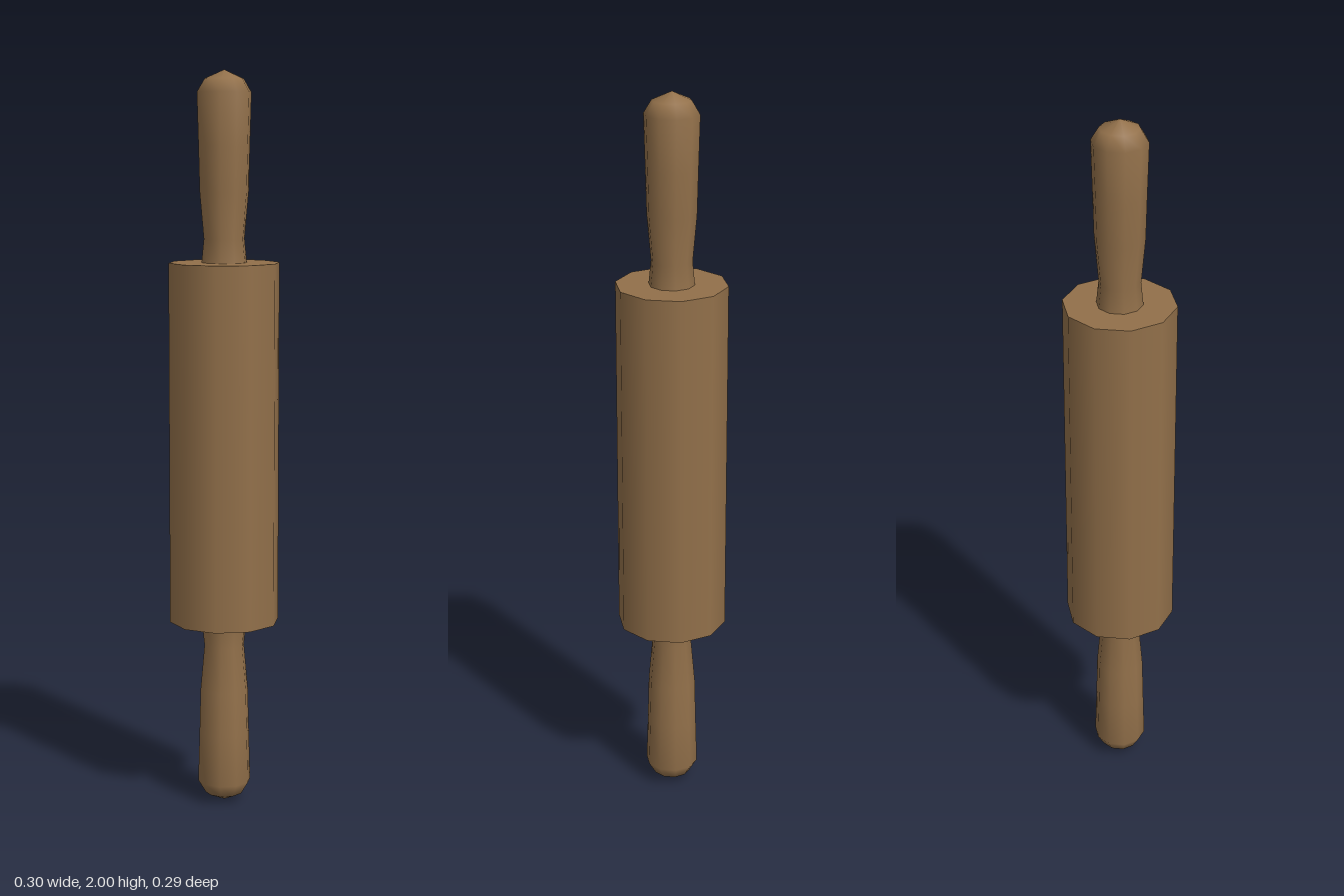
import * as THREE from 'three';

const SIDES = 10;

export function createModel() {
  const wood = new THREE.MeshStandardMaterial({ color: 0x92704a });
  wood.name = 'wood';
  const model = new THREE.Group();
  model.name = 'rollingPin';

  // Ten-sided barrel with a corner on the x axis
  const barrel = new THREE.Mesh(
    new THREE.CylinderGeometry(0.15, 0.15, 0.98, SIDES, 1, false, Math.PI / 2), wood);
  barrel.name = 'barrel';
  barrel.position.y = 1.004;
  model.add(barrel);

  // Handle profile, from the barrel end out to the rounded tip
  const profile = [
    [0.062, 0.485], [0.055, 0.555], [0.066, 0.68], [0.069, 0.8],
    [0.073, 0.94], [0.052, 0.975], [0, 0.998],
  ].map(([r, y]) => new THREE.Vector2(r, y));
  const handleGeometry = new THREE.LatheGeometry(profile, SIDES, Math.PI / 2);

  for (const [name, turn] of [['topHandle', 0], ['bottomHandle', Math.PI]]) {
    const handle = new THREE.Mesh(handleGeometry, wood);
    handle.name = name;
    handle.position.y = turn ? 1.0 : 1.002;
    handle.rotation.x = turn;
    model.add(handle);
  }
  return model;
}
